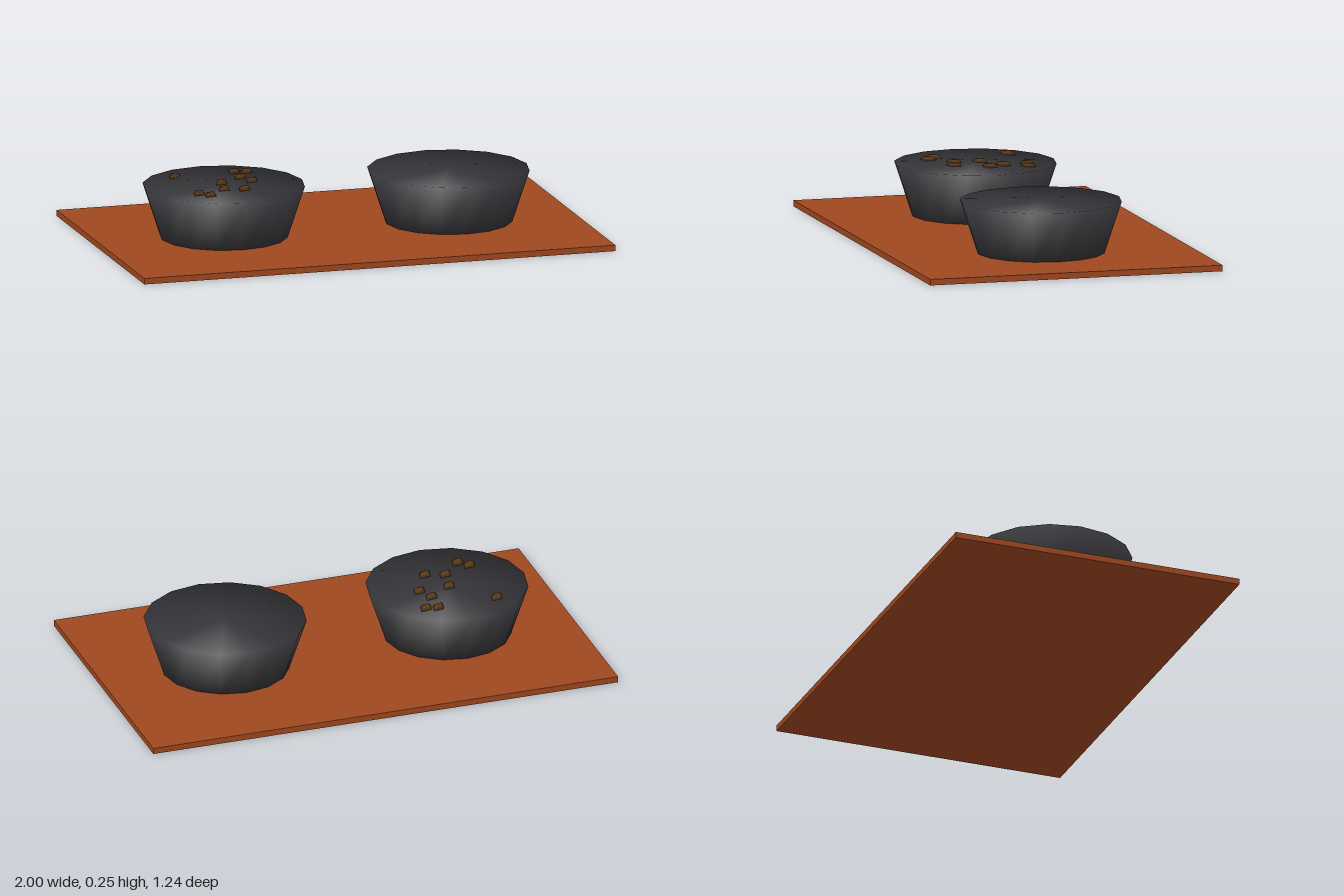
import * as THREE from 'three';
import { mergeVertices } from 'three/addons/utils/BufferGeometryUtils.js';

// Joins shared corners so that shading runs smoothly over the edges
function smooth(geometry) {
  geometry.deleteAttribute('uv');
  geometry.deleteAttribute('normal');
  const merged = mergeVertices(geometry, 1e-5);
  merged.computeVertexNormals();
  return merged;
}

function material(name, color) {
  const m = new THREE.MeshStandardMaterial({ color });
  m.name = name;
  return m;
}

export function createModel() {
  const model = new THREE.Group();
  model.name = 'petBowls';
  const matBrown = material('rust brown', 0xa0481f);
  const bowlGrey = material('charcoal', 0x36363a);
  const foodBrown = material('dark brown', 0x5c3a1a);

  function add(name, geometry, mat, x, y, z) {
    const mesh = new THREE.Mesh(geometry, mat);
    mesh.name = name;
    mesh.position.set(x, y, z);
    model.add(mesh);
  }

  // Flat feeding mat
  add('mat', new THREE.BoxGeometry(2, 0.025, 1.238), matBrown, 0, 0.0125, 0);

  // Two tapered, filled bowls
  const bowl = smooth(new THREE.CylinderGeometry(0.332, 0.262, 0.213, 16));
  add('rightBowl', bowl, bowlGrey, -0.477, 0.1315, 0);
  add('leftBowl', bowl, bowlGrey, 0.477, 0.1315, 0);

  // Food pieces: small slanted four-sided chips on the right bowl
  const chip = new THREE.CylinderGeometry(0.026, 0.038, 0.016, 4);
  chip.scale(1, 1, 0.68);
  chip.rotateY(Math.PI / 4);
  chip.scale(1.1, 1, 0.97);
  const chipGeometry = smooth(chip);
  const spots = [
    [-0.63, -0.18], [-0.375, -0.19], [-0.325, -0.18], [-0.38, -0.09], [-0.35, -0.025],
    [-0.48, -0.02], [-0.5, 0.085], [-0.42, 0.107], [-0.62, 0.133], [-0.583, 0.17],
  ];
  spots.forEach(([x, z], i) => add(`foodPiece${i + 1}`, chipGeometry, foodBrown, x, 0.243, z));

  return model;
}
